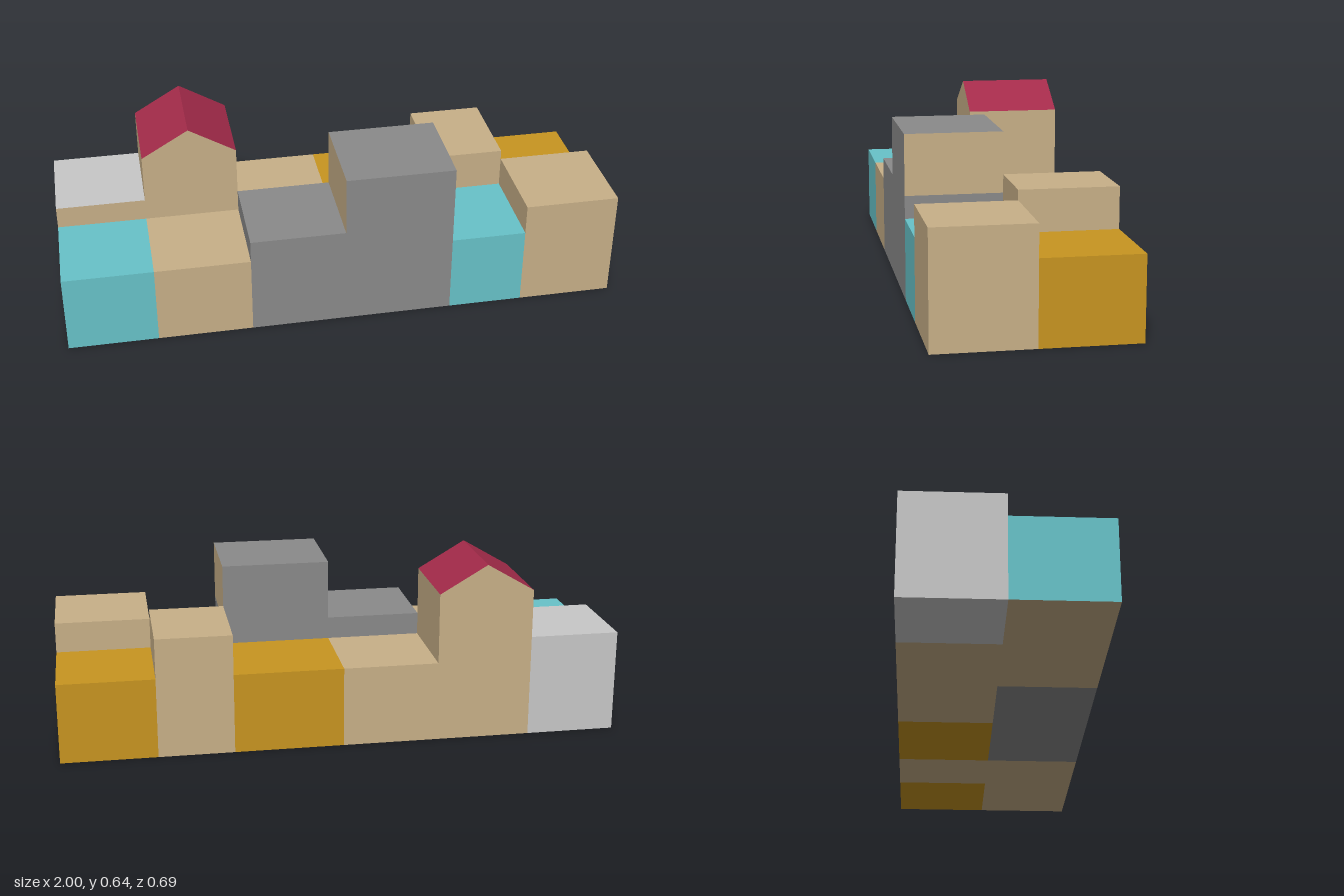
import * as THREE from 'three';

const paint = (name, color) => {
  const m = new THREE.MeshStandardMaterial({ color });
  m.name = name;
  return m;
};

export function createModel() {
  const tan = paint('tan', 0xc8b088);
  const grey = paint('grey', 0x8a8a8a);
  const lightGrey = paint('light grey', 0xc8c8c8);
  const cyan = paint('cyan', 0x68c3c9);
  const gold = paint('gold', 0xc89520);
  const red = paint('red', 0xa42b4a);

  const group = new THREE.Group();
  group.name = 'buildingBlock';
  const DEPTH = 0.343;
  const BASE = 0.29;

  // A box between two x and two y values, in the front (z > 0) or back row.
  // faces overrides single sides: px, nx, py, ny, pz, nz.
  function block(name, row, x0, x1, y0, y1, main, faces = {}) {
    const geo = new THREE.BoxGeometry(x1 - x0, y1 - y0, DEPTH);
    const mats = ['px', 'nx', 'py', 'ny', 'pz', 'nz'].map((k) => faces[k] || main);
    const mesh = new THREE.Mesh(geo, Object.keys(faces).length ? mats : main);
    mesh.position.set((x0 + x1) / 2, (y0 + y1) / 2, (row === 'front' ? 1 : -1) * DEPTH / 2);
    mesh.name = name;
    group.add(mesh);
  }

  // Front row, from -x to +x
  block('cornerUnit', 'front', -1, -0.68, 0, BASE, cyan, { ny: tan });
  block('lowUnit', 'front', -0.68, -0.34, 0, BASE, tan);
  block('greyHall', 'front', -0.34, 0.39, 0, 0.37, grey);
  block('greyTower', 'front', 0, 0.39, 0.37, 0.585, grey, { px: tan, nx: tan });
  block('shopUnit', 'front', 0.39, 0.66, 0, BASE, cyan, { ny: tan });
  block('endUnit', 'front', 0.66, 1, 0, 0.4, tan);

  // Back row, from -x to +x
  block('paleUnit', 'back', -1, -0.68, 0, 0.37, lightGrey, { pz: tan });
  block('houseWalls', 'back', -0.68, -0.34, 0, 0.545, tan);
  block('rearLowUnit', 'back', -0.34, 0, 0, BASE, tan);
  block('rearGoldUnit', 'back', 0, 0.39, 0, BASE, gold);
  block('rearTower', 'back', 0.39, 0.66, 0, 0.435, tan);
  block('rearEndUnit', 'back', 0.66, 1, 0, BASE, gold);

  // Gabled roof: tan gable ends, red slopes
  const gable = new THREE.Shape([
    new THREE.Vector2(-0.68, 0.545),
    new THREE.Vector2(-0.34, 0.545),
    new THREE.Vector2(-0.51, 0.645),
  ]);
  const roof = new THREE.Mesh(
    new THREE.ExtrudeGeometry(gable, { depth: DEPTH, bevelEnabled: false }),
    [tan, red],
  );
  roof.position.z = -DEPTH;
  roof.name = 'houseRoof';
  group.add(roof);

  return group;
}
